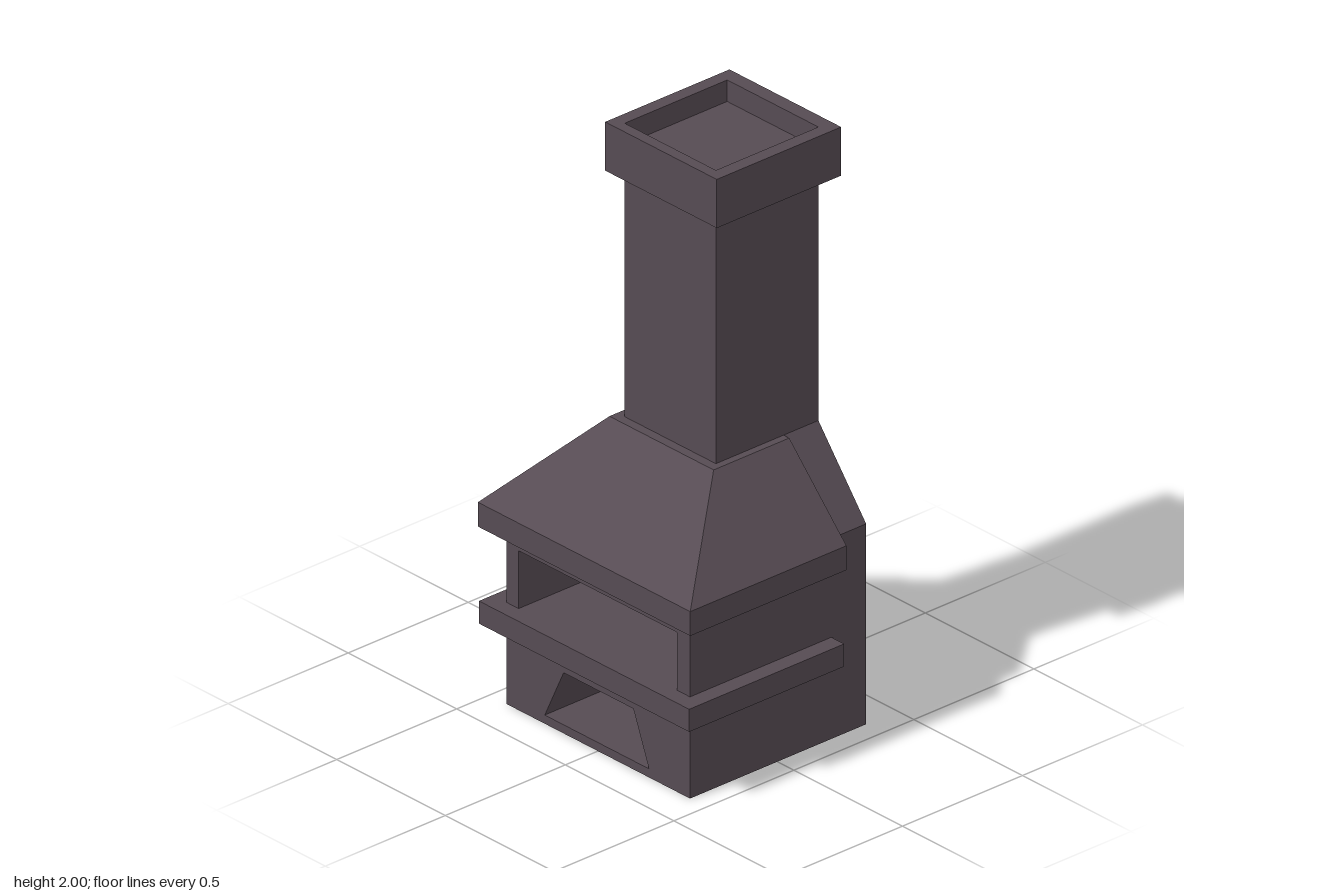
import * as THREE from 'three';

const stone = new THREE.MeshStandardMaterial({ color: 0x564b53 });
stone.name = 'darkStone';

const outline = (points) => points.map(([x, y]) => new THREE.Vector2(x, y));

function addMesh(group, name, geometry) {
  const mesh = new THREE.Mesh(geometry, stone);
  mesh.name = name;
  group.add(mesh);
  return mesh;
}

// Box given by its lower and upper corners
function addBox(group, name, [x0, y0, z0], [x1, y1, z1]) {
  const geometry = new THREE.BoxGeometry(x1 - x0, y1 - y0, z1 - z0);
  geometry.translate((x0 + x1) / 2, (y0 + y1) / 2, (z0 + z1) / 2);
  return addMesh(group, name, geometry);
}

// Outline with optional holes, extruded along +z from z0 to z1
function extrude(points, holes, z0, z1) {
  const shape = new THREE.Shape(outline(points));
  for (const hole of holes) shape.holes.push(new THREE.Path(outline(hole)));
  const geometry = new THREE.ExtrudeGeometry(shape, { depth: z1 - z0, bevelEnabled: false });
  return geometry.translate(0, 0, z0);
}

const rect = (x0, y0, x1, y1) => [[x0, y0], [x1, y0], [x1, y1], [x0, y1]];

export function createModel() {
  const group = new THREE.Group();
  group.name = 'fireplace';

  // Firebox with the hearth opening and the tapered log store below it
  const hearth = rect(-0.365, 0.345, 0.365, 0.557);
  const logStore = [[-0.245, 0.03], [0.235, 0.03], [0.163, 0.212], [-0.158, 0.212]];
  addMesh(group, 'firebox', extrude(rect(-0.422, 0, 0.424, 0.7), [hearth, logStore], -0.22, 0.364));

  // Back wall with shoulders sloping in to the chimney
  const shoulders = [[-0.422, 0], [0.424, 0], [0.424, 0.7], [0.204, 0.975], [-0.216, 0.975], [-0.422, 0.7]];
  addMesh(group, 'backWall', extrude(shoulders, [], -0.37, -0.22));

  // Shelf, which is also the hearth floor
  addBox(group, 'shelf', [-0.485, 0.276, -0.225], [0.483, 0.355, 0.421]);

  // Hood: straight lip and tapered roof
  addBox(group, 'hoodLip', [-0.49, 0.613, -0.23], [0.488, 0.698, 0.421]);
  const roof = new THREE.BoxGeometry(1, 1, 1);
  const p = roof.attributes.position;
  for (let i = 0; i < p.count; i++) {
    const top = p.getY(i) > 0, right = p.getX(i) > 0, front = p.getZ(i) > 0;
    if (top) p.setXYZ(i, right ? 0.23 : -0.25, 0.975, front ? 0.09 : -0.225);
    else p.setXYZ(i, right ? 0.488 : -0.49, 0.698, front ? 0.421 : -0.23);
  }
  roof.computeVertexNormals();
  addMesh(group, 'hoodRoof', roof);

  // Chimney, ending below the rim of its cap
  addBox(group, 'chimney', [-0.216, 0.9, -0.37], [0.204, 1.925, 0.057]);

  // Chimney cap: square ring around the flue
  const cap = extrude(rect(-0.263, -0.096, 0.251, 0.422), [rect(-0.216, -0.057, 0.204, 0.37)], 0, 0.17);
  cap.rotateX(-Math.PI / 2).translate(0, 1.83, 0);
  addMesh(group, 'chimneyCap', cap);

  return group;
}
